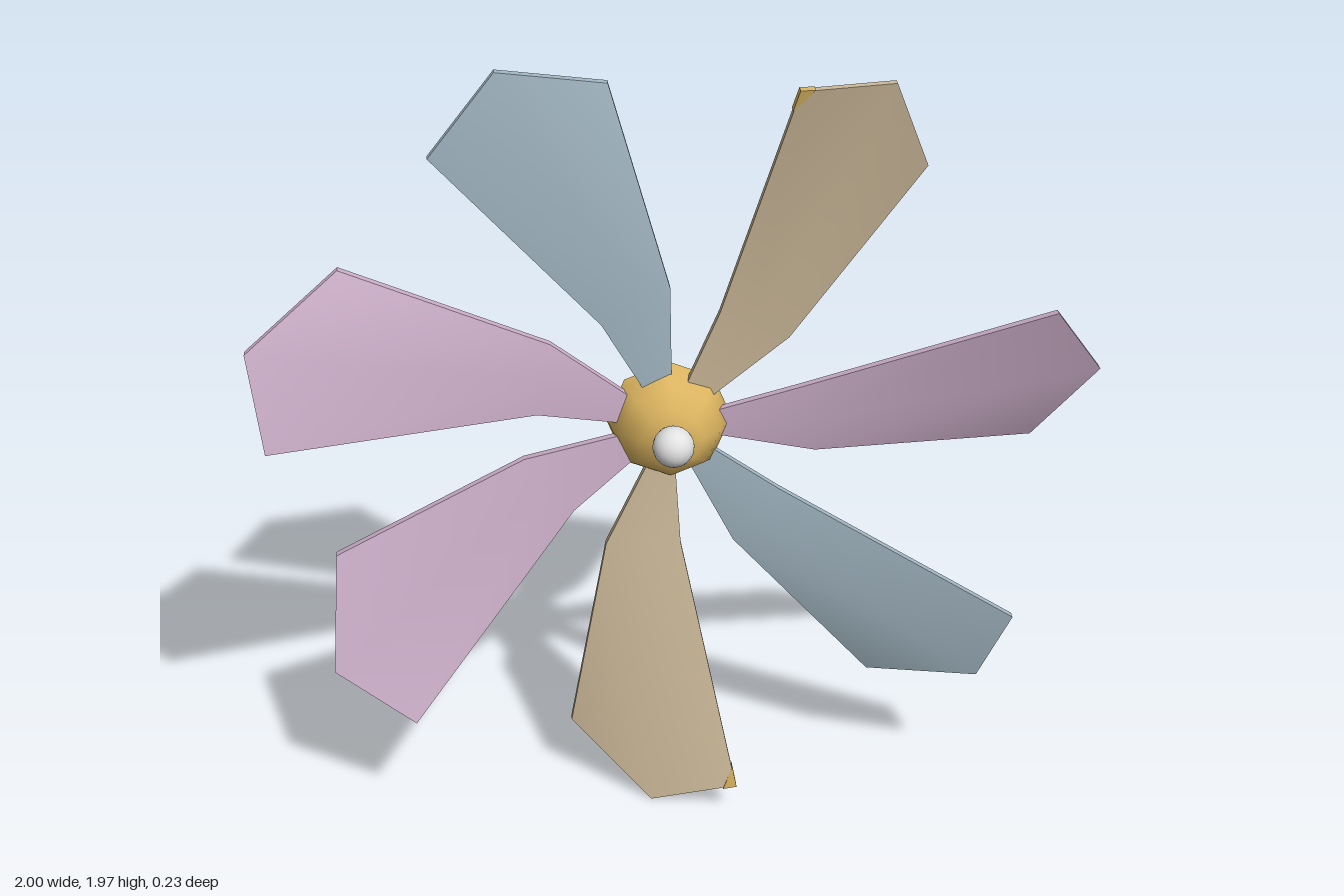
import * as THREE from 'three';
import { toCreasedNormals } from 'three/addons/utils/BufferGeometryUtils.js';

const mat = (name, color) => new THREE.MeshStandardMaterial({ name, color });

// Closed slab from rows of front points; the back is the same grid shifted in -z
function slab(rows, thickness) {
  const pos = [];
  const back = (p) => [p[0], p[1], p[2] - thickness];
  const tri = (...pts) => pts.forEach((p) => pos.push(...p));
  const last = rows[0].length - 1;
  for (let r = 0; r < rows.length - 1; r++) {
    for (let c = 0; c < last; c++) {
      const a = rows[r][c], b = rows[r + 1][c], d = rows[r + 1][c + 1], e = rows[r][c + 1];
      tri(a, b, d); tri(a, d, e);
      tri(back(a), back(d), back(b)); tri(back(a), back(e), back(d));
    }
  }
  // Rim walls around the outline
  const loop = [
    ...rows.map((row) => row[0]),
    ...rows[rows.length - 1].slice(1),
    ...rows.slice(0, -1).reverse().map((row) => row[last]),
    ...rows[0].slice(1, -1).reverse(),
  ];
  loop.forEach((a, i) => {
    const b = loop[(i + 1) % loop.length];
    tri(back(a), back(b), b); tri(back(a), b, a);
  });
  const geo = new THREE.BufferGeometry();
  geo.setAttribute('position', new THREE.Float32BufferAttribute(pos, 3));
  return toCreasedNormals(geo, 0.5);
}

export function createModel() {
  const tan = mat('tan', 0xcdba9a);
  const blue = mat('dusty blue', 0xa2b6c2);
  const pink = mat('mauve pink', 0xcbaec8);
  const gold = mat('gold', 0xdcb560);
  const white = mat('pearl white', 0xe2e2e2);

  const model = new THREE.Group();
  model.name = 'pinwheel';
  const wheel = new THREE.Group();
  wheel.name = 'wheel';
  wheel.position.set(-0.015, 1.03, 0);
  model.add(wheel);

  const add = (parent, name, geo, material) => {
    const mesh = new THREE.Mesh(geo, material);
    mesh.name = name;
    parent.add(mesh);
    return mesh;
  };

  // Twisted blade along +x: low trailing edge, mid line, raised leading edge
  const bladeGeo = slab([
    [[0, -0.006, -0.078], [0, 0, -0.078], [0, 0.006, -0.078]],
    [[0.335, -0.14, -0.078], [0.33, -0.05, -0.072], [0.32, 0.043, -0.065]],
    [[0.86, -0.206, -0.078], [1.026, 0, 0.038], [0.93, 0.204, 0.113]],
  ], 0.02);

  // Small gold cap on the raised corner of the tan blades
  const capGeo = slab([
    [[0.88, 0.193, 0.101], [0.88, 0.193, 0.101]],
    [[0.946, 0.174, 0.105], [0.932, 0.206, 0.115]],
  ], 0.024);

  [pink, tan, blue, pink, pink, tan, blue].forEach((color, i) => {
    const arm = new THREE.Group();
    arm.name = `bladeArm${i + 1}`;
    arm.rotation.z = THREE.MathUtils.degToRad(9.6) + (i * Math.PI * 2) / 7;
    add(arm, 'blade', bladeGeo, color);
    if (color === tan) add(arm, 'cornerCap', capGeo, gold);
    wheel.add(arm);
  });

  // Hollow eight-sided hub, open at the back
  const profile = [
    [0, -0.025], [0.05, -0.025], [0.09, -0.045], [0.108, -0.09], [0.118, -0.117],
    [0.152, -0.117], [0.145, -0.09], [0.12, -0.045], [0.075, -0.005], [0, 0.005],
  ].map(([r, z]) => new THREE.Vector2(r, z));
  const hubGeo = toCreasedNormals(new THREE.LatheGeometry(profile, 8), 0.85);
  add(wheel, 'hub', hubGeo, gold).rotation.x = Math.PI / 2;

  // Round pin head at the front
  add(wheel, 'pinHead', new THREE.SphereGeometry(0.05, 20, 14), white).position.z = 0.03;

  return model;
}
